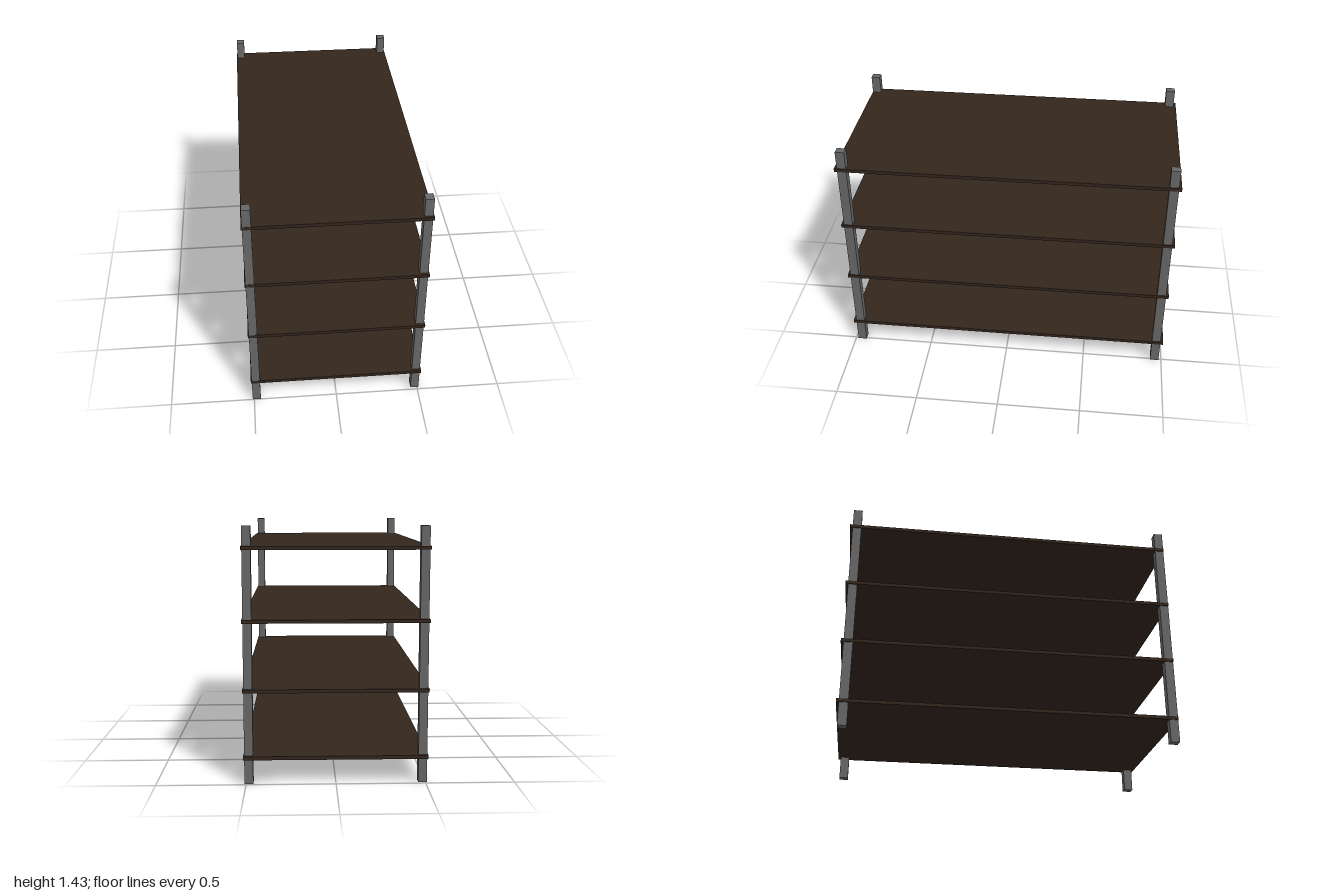
import * as THREE from 'three';

export function createModel() {
  const group = new THREE.Group();
  const wood = new THREE.MeshStandardMaterial({ color: 0x33261d });
  const metal = new THREE.MeshStandardMaterial({ color: 0x666666 });

  const addBox = (name, material, size, position) => {
    const mesh = new THREE.Mesh(new THREE.BoxGeometry(...size), material);
    mesh.name = name;
    mesh.position.set(...position);
    group.add(mesh);
  };

  // Four thin shelves
  [0.149, 0.526, 0.911, 1.309].forEach((y, i) =>
    addBox(`shelf${i + 1}`, wood, [1.03, 0.02, 2], [0, y, 0]));

  // Four square corner posts; the front right one sits slightly further forward
  const height = 1.428;
  const posts = [
    ['frontLeftPost', 0.485, 0.957],
    ['frontRightPost', -0.485, 0.972],
    ['backLeftPost', 0.485, -0.957],
    ['backRightPost', -0.485, -0.957],
  ];
  for (const [name, x, z] of posts)
    addBox(name, metal, [0.049, height, 0.054], [x, height / 2, z]);

  return group;
}
